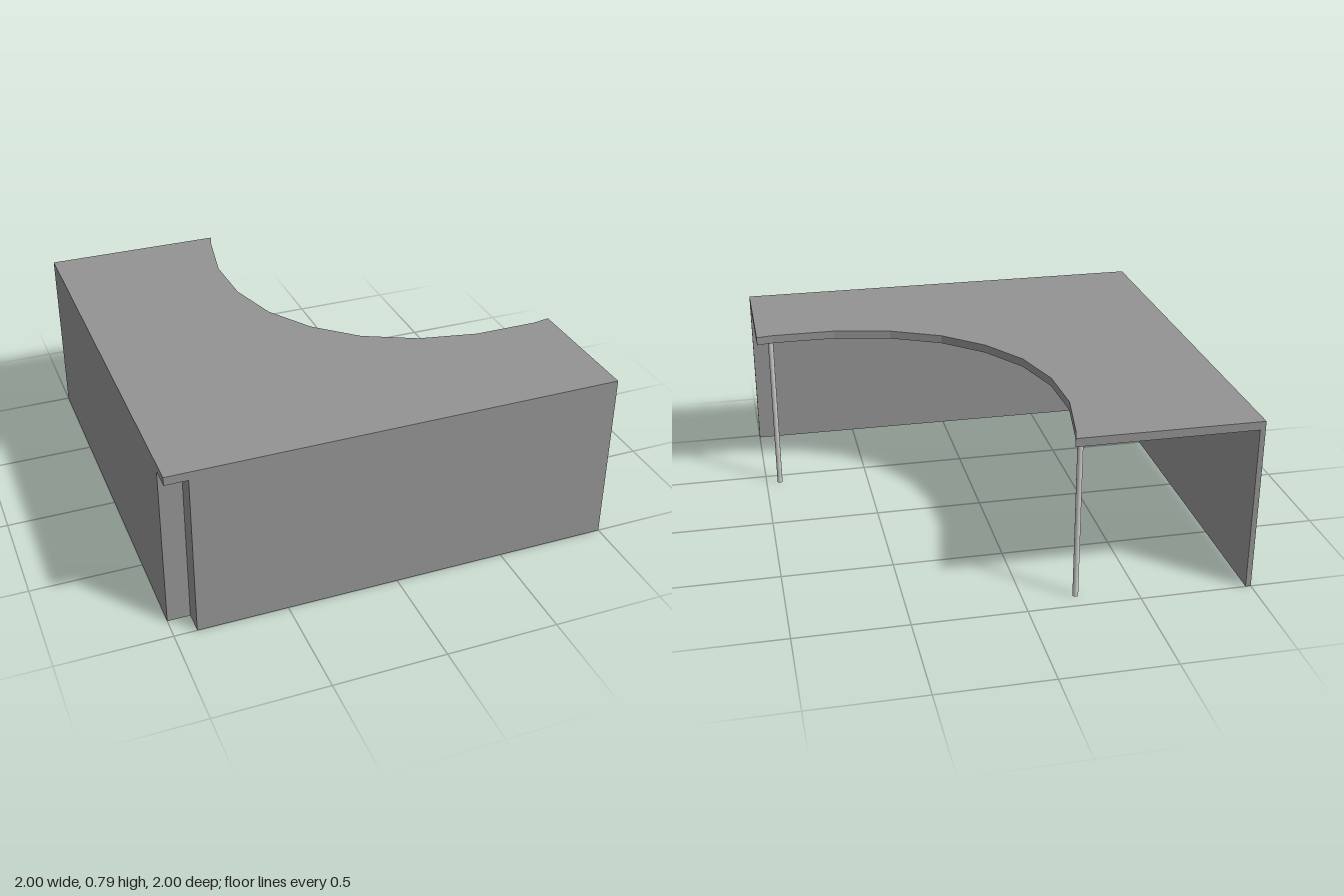
import * as THREE from 'three';

const TOP = 0.79, UNDER = 0.752, T = 0.024;
const boardMaterial = new THREE.MeshStandardMaterial({ color: 0x939393, flatShading: true });
const legMaterial = new THREE.MeshStandardMaterial({ color: 0xcccccc });

export function createModel() {
  const desk = new THREE.Group();
  desk.name = 'cornerDesk';

  const add = (name, geometry, material, x, y, z) => {
    const mesh = new THREE.Mesh(geometry, material);
    mesh.name = name;
    mesh.position.set(x, y, z);
    desk.add(mesh);
  };

  // Upright board standing on the floor, given by its plan rectangle
  const board = (name, x0, x1, z0, z1) =>
    add(name, new THREE.BoxGeometry(x1 - x0, UNDER, z1 - z0), boardMaterial,
      (x0 + x1) / 2, UNDER / 2, (z0 + z1) / 2);

  // Desktop with faceted concave seating edge, outline in plan (x, z)
  const outline = [
    [-1, 1], [1, 1], [1, 0.397], [0.92, 0.411], [0.63, 0.411], [0.365, 0.356], [0.133, 0.243],
    [-0.046, 0.08], [-0.177, -0.125], [-0.247, -0.37], [-0.257, -0.64], [-0.205, -0.93], [-0.185, -1], [-1, -1],
  ];
  const shape = new THREE.Shape(outline.map(([x, z]) => new THREE.Vector2(x, -z)));
  const top = new THREE.ExtrudeGeometry(shape, { depth: TOP - UNDER, bevelEnabled: false });
  top.rotateX(-Math.PI / 2);
  add('desktop', top, boardMaterial, 0, UNDER, 0);

  // Modesty panels along the two straight sides
  board('frontPanel', -0.9, 1, 1 - T, 1);
  board('sidePanel', -1, -1 + T, -1, 0.9);

  // Recessed corner returns joining the panels
  board('frontCornerReturn', -0.9, -0.9 + T, 0.9, 1 - T);
  board('sideCornerReturn', -1 + T, -0.9, 0.9 - T, 0.9);

  // Slim round metal legs under the free ends
  for (const [name, x, z] of [['frontLeg', 0.934, 0.43], ['rearLeg', -0.23, -0.916]]) {
    add(name, new THREE.CylinderGeometry(0.0125, 0.0125, UNDER, 16), legMaterial, x, UNDER / 2, z);
  }

  return desk;
}
